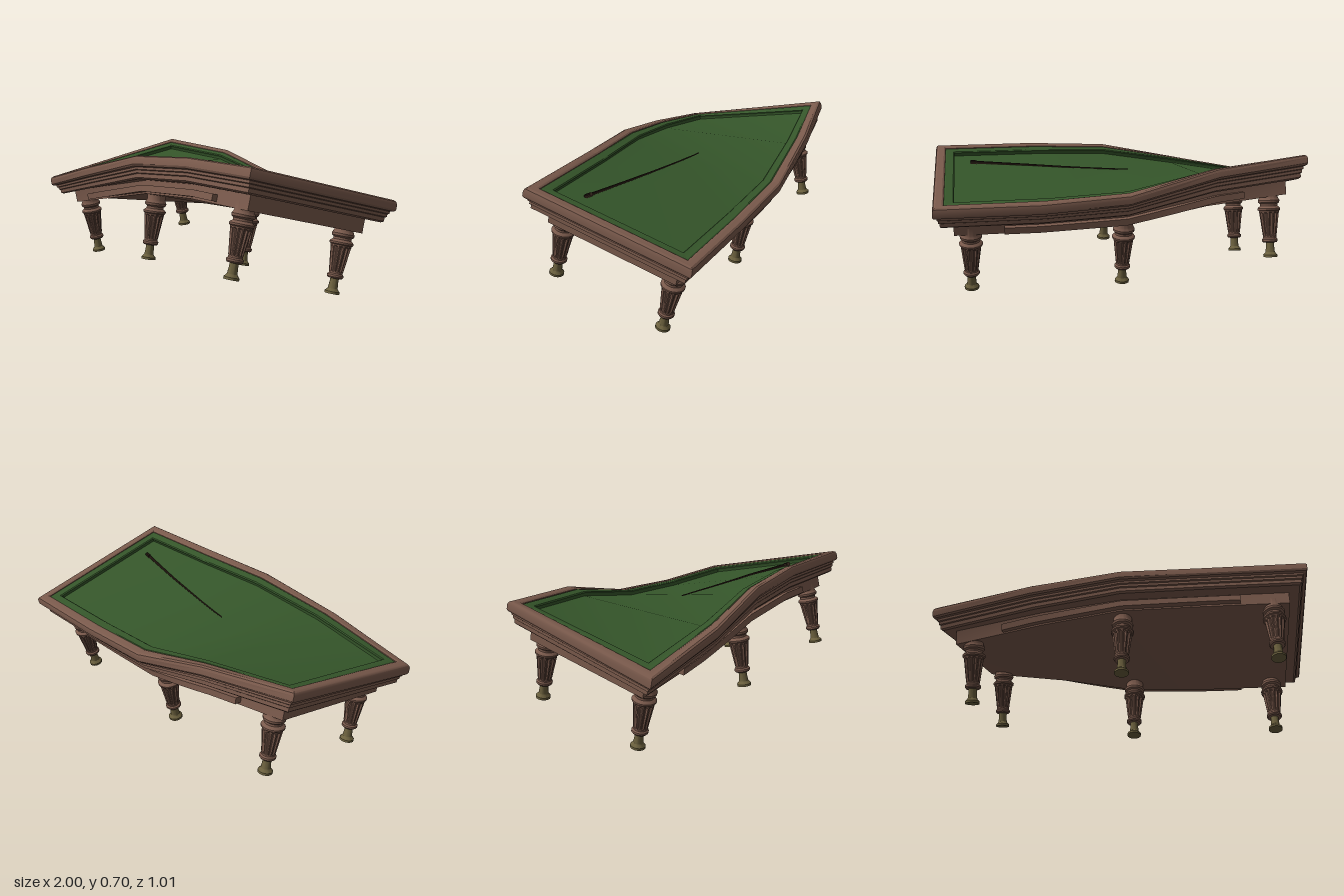
import * as THREE from 'three';
import { toCreasedNormals } from 'three/addons/utils/BufferGeometryUtils.js';

const WOOD = 0x7a5a4c, FELT = 0x35562a, BRASS = 0x6a5f3d, CUE = 0x35261c;
const L = 0.985;
// Warp stations along the table: x, centre z, rim height, twist (degrees), half width
const STATIONS = [
  [-L, 0.035, 0.593, -13.6, 0.458],
  [-0.47, 0.0, 0.62, -3.5, 0.5],
  [0, -0.032, 0.607, 9.5, 0.49],
  [0.45, -0.035, 0.6, 13.4, 0.468],
  [L, -0.014, 0.593, 13.6, 0.465],
];

function stationAt(u) {
  let i = 0;
  while (i < STATIONS.length - 2 && u > STATIONS[i + 1][0]) i++;
  const a = STATIONS[i], b = STATIONS[i + 1];
  const t = (u - a[0]) / (b[0] - a[0]);
  return a.map((n, k) => n + (b[k] - n) * t);
}

const halfWidth = (u) => stationAt(u)[4];

// Table coordinates (along, across, depth below the rim top) to the twisted table
function warp(u, v, d) {
  const [, zc, yc, deg, w] = stationAt(u);
  const c = Math.cos(deg * Math.PI / 180), s = Math.sin(deg * Math.PI / 180);
  return [u - 0.015 * v / w, yc + v * s - d * c, zc + v * c + d * s];
}

function warpGeometry(g, map) {
  const p = g.attributes.position;
  for (let i = 0; i < p.count; i++) p.setXYZ(i, ...warp(...map(p.getX(i), p.getY(i), p.getZ(i))));
  return g;
}

function addMesh(parent, name, geometry, color, crease = 0.5) {
  const mesh = new THREE.Mesh(toCreasedNormals(geometry, crease), new THREE.MeshStandardMaterial({ color }));
  mesh.name = name;
  parent.add(mesh);
  return mesh;
}

// Closed loop round the table at a given inset and depth: front side, then back side
const N = STATIONS.length;
function ring([inset, depth]) {
  const us = STATIONS.map((s) => s[0] * (L - inset) / L);
  const side = (sign) => us.map((u) => warp(u, sign * (halfWidth(u) - inset), depth));
  return [...side(1), ...side(-1).reverse()];
}

// Loft of loops; optionally closed at the first or last loop
function loft(profile, capStart, capEnd) {
  const rings = profile.map(ring), n = 2 * N, idx = [];
  for (let r = 0; r < rings.length - 1; r++) {
    for (let j = 0; j < n; j++) {
      const a = r * n + j, b = r * n + (j + 1) % n;
      idx.push(a, b, b + n, a, b + n, a + n);
    }
  }
  const cap = (base, up) => {
    for (let j = 0; j < N - 1; j++) {
      const a = base + j, b = a + 1, c = base + n - 2 - j, d = c + 1;
      idx.push(...(up ? [a, b, c, a, c, d] : [a, c, b, a, d, c]));
    }
  };
  if (capStart) cap(0, false);
  if (capEnd) cap((rings.length - 1) * n, true);
  const g = new THREE.BufferGeometry();
  g.setAttribute('position', new THREE.Float32BufferAttribute(rings.flat(2), 3));
  g.setIndex(idx);
  return g;
}

const lathe = (pts, segments) =>
  new THREE.LatheGeometry(pts.map(([r, y]) => new THREE.Vector2(r, y)), segments);

// Turned leg: fluted wooden shaft over a flared brass foot
const FOOT = [[0, 0], [0.038, 0], [0.038, 0.012], [0.031, 0.019], [0.025, 0.027], [0.022, 0.06], [0.022, 0.09]];
const SHAFT = [
  [0.02, 0.078], [0.036, 0.08], [0.042, 0.087], [0.042, 0.097], [0.035, 0.104], [0.035, 0.112], [0.037, 0.118],
  [0.052, 0.238], [0.053, 0.244], [0.054, 0.25], [0.06, 0.255], [0.061, 0.264], [0.055, 0.271], [0.046, 0.277],
  [0.046, 0.288], [0.056, 0.296], [0.058, 0.308], [0.053, 0.316], [0.049, 0.325], [0.049, 0.365],
];

function makeLeg(u, v, drop) {
  const leg = new THREE.Group();
  leg.name = 'leg';
  const shaft = lathe(SHAFT, 48), p = shaft.attributes.position;
  // Cut twelve flutes into the tapered part of the shaft
  for (let i = 0; i < p.count; i++) {
    const row = i % SHAFT.length, column = Math.floor(i / SHAFT.length) % 4;
    if ((row === 6 || row === 7) && column >= 2) {
      p.setX(i, p.getX(i) * 0.84);
      p.setZ(i, p.getZ(i) * 0.84);
    }
  }
  // Legs stay straight, standing square to the twisted bed
  const [x, y, z] = warp(u, v, 0.525 + drop);
  addMesh(leg, 'flutedShaft', shaft, WOOD);
  addMesh(leg, 'brassFoot', lathe(FOOT, 24), BRASS);
  leg.position.set(x, y, z);
  leg.rotation.x = -stationAt(u)[3] * Math.PI / 180;
  return leg;
}

export function createModel() {
  const table = new THREE.Group();
  table.name = 'twistedBilliardTable';

  // Apron, stepped mouldings and rounded rail
  addMesh(table, 'woodenFrame', loft([
    [0.1, 0.195], [0.1, 0.122], [0.045, 0.122], [0.034, 0.114], [0.034, 0.094], [0.027, 0.09], [0.027, 0.076],
    [0.02, 0.072], [0.02, 0.06], [0.006, 0.056], [0, 0.046], [0, 0.018], [0.005, 0.006], [0.015, 0],
    [0.046, 0], [0.055, 0.005], [0.056, 0.02],
  ], true, false), WOOD);

  // Cushions with an overhanging nose
  addMesh(table, 'cushions', loft([
    [0.054, 0.01], [0.062, 0.006], [0.1, 0.01], [0.106, 0.015], [0.1, 0.026], [0.1, 0.04],
  ], false, false), FELT);

  // Playing bed
  addMesh(table, 'feltBed', loft([[0.098, 0.05], [0.098, 0.036]], false, true), FELT);

  // Long raised panel on each side of the apron
  for (const side of [1, -1]) {
    const g = warpGeometry(new THREE.BoxGeometry(1.26, 0.035, 0.06, 28, 1, 1),
      (x, y, z) => [x, side * (halfWidth(x) - 0.1) + z, 0.168 - y]);
    addMesh(table, 'sidePanel', g, WOOD);
  }

  // Three pairs of legs
  for (const u of [-0.8, 0, 0.8]) {
    for (const v of [-0.32, 0.32]) table.add(makeLeg(u, v, u === 0 ? 0.022 : 0));
  }

  // Two-piece cue lying across the bed
  const cue = new THREE.Group();
  cue.name = 'cue';
  const cuePart = (name, u0, u1, r0, r1) => {
    const g = new THREE.CylinderGeometry(r1, r0, 1, 10, 8);
    warpGeometry(g, (x, y, z) => {
      const u = u0 + (u1 - u0) * (y + 0.5);
      return [u, 0.035 + 0.2 * (u + 0.08) / 0.87 + z, 0.026 - x];
    });
    addMesh(cue, name, g, CUE);
  };
  cuePart('cueShaft', -0.08, 0.37, 0.003, 0.005);
  cuePart('cueButt', 0.37, 0.76, 0.005, 0.008);
  cuePart('cueEndCap', 0.755, 0.79, 0.011, 0.011);
  table.add(cue);

  return table;
}
